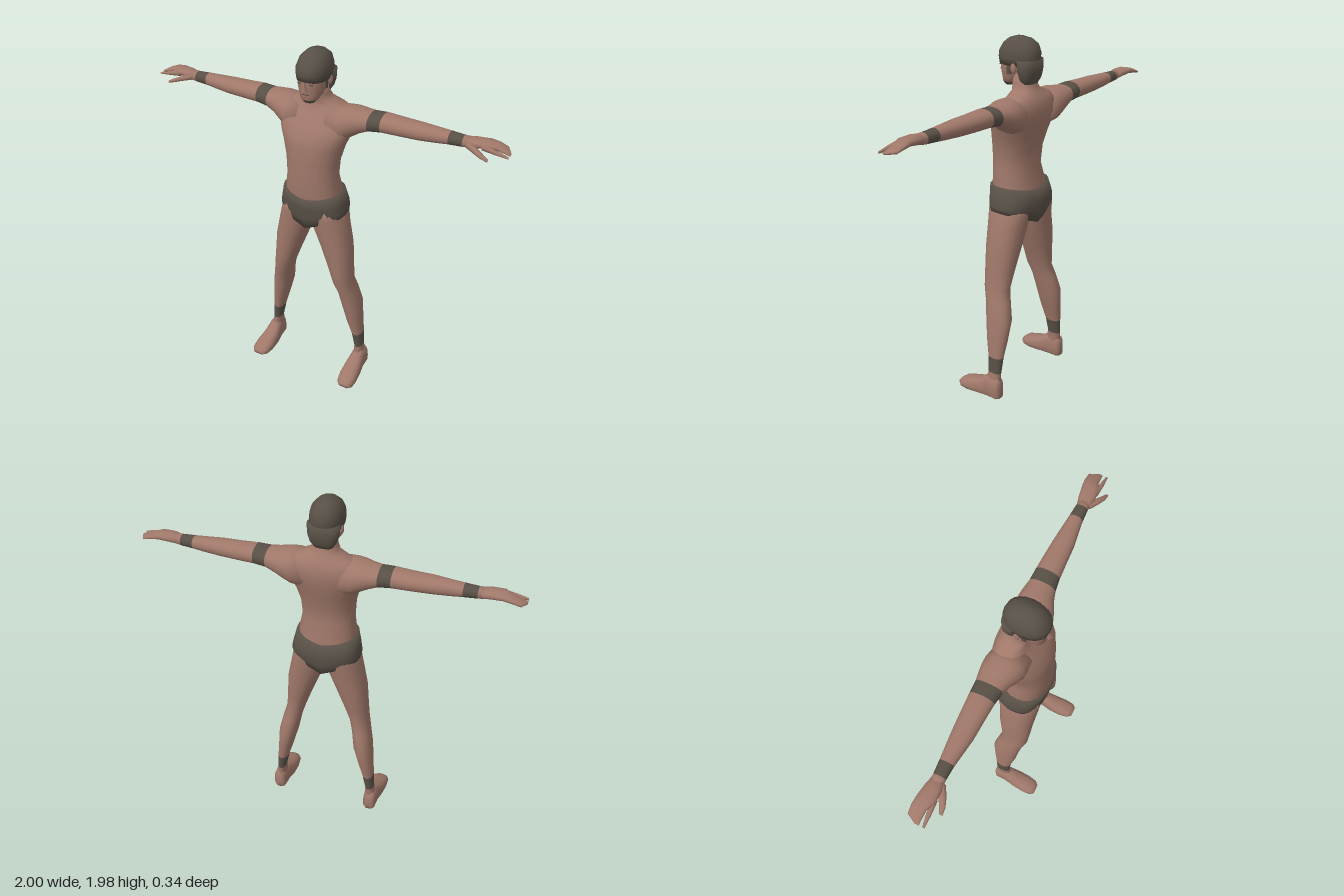
import * as THREE from 'three';

const skin = new THREE.MeshStandardMaterial({ color: 0xa0786a });
skin.name = 'skin';
const dark = new THREE.MeshStandardMaterial({ color: 0x585046 });
dark.name = 'dark cloth and hair';

const pow = (v, e) => Math.sign(v) * Math.abs(v) ** e;

// Skins rings along an axis. Ring: [t, aMin, aMax, bMin, bMax, lift].
// (a, t, b) is (x, y, z) for axis y, (z, x, y) for axis x, (y, z, x) for axis z.
// Segments listed in darkSegs are dark; lift raises a ring towards its sides.
function loft(name, axis, rings, { n = 2.2, sides = 20, side = 1, base = skin, darkSegs = [] } = {}) {
  const pos = [], index = [], geo = new THREE.BufferGeometry();
  const put = (a, t, b) => {
    const [x, y, z] = axis === 'y' ? [a, t, b] : axis === 'x' ? [t, b, a] : [b, a, t];
    pos.push(x * side, Math.max(0, y), z);
  };
  const tri = (a, b, c) => (side > 0 ? index.push(a, b, c) : index.push(a, c, b));
  for (const [t, a0, a1, b0, b1, lift = 0] of rings) {
    for (let i = 0; i < sides; i++) {
      const th = (i / sides) * Math.PI * 2;
      const u = pow(Math.cos(th), 2 / n), v = pow(Math.sin(th), 2 / n);
      put((a0 + a1) / 2 + (u * (a1 - a0)) / 2, t + lift * Math.abs(u), (b0 + b1) / 2 + (v * (b1 - b0)) / 2);
    }
  }
  const last = rings.length - 1;
  for (const r of [rings[0], rings[last]]) put((r[1] + r[2]) / 2, r[0], (r[3] + r[4]) / 2);
  const c0 = rings.length * sides;
  for (let s = 0; s < last; s++) {
    const start = index.length;
    for (let i = 0; i < sides; i++) {
      const j = (i + 1) % sides, p = s * sides;
      if (s === 0) tri(c0, i, j);
      tri(p + i, p + sides + i, p + j);
      tri(p + j, p + sides + i, p + sides + j);
      if (s === last - 1) tri(c0 + 1, last * sides + j, last * sides + i);
    }
    geo.addGroup(start, index.length - start, darkSegs.includes(s) ? 1 : 0);
  }
  geo.setAttribute('position', new THREE.Float32BufferAttribute(pos, 3));
  geo.setIndex(index);
  geo.computeVertexNormals();
  const mesh = new THREE.Mesh(geo, [base, dark]);
  mesh.name = name;
  return mesh;
}

// Ring symmetric about x = 0: height, half width, back z, front z
const sym = (y, w, back, front, lift) => [y, -w, w, back, front, lift];

function plate(name, material, w, h, d, x, y, z) {
  const m = new THREE.Mesh(new THREE.BoxGeometry(w, h, d), material);
  m.name = name;
  m.position.set(x, y, z);
  return m;
}

function makeHead() {
  const head = new THREE.Group();
  head.name = 'head';
  // Face with a short beard under the chin
  head.add(loft('face', 'y', [
    sym(1.727, 0.028, 0.02, 0.07), sym(1.745, 0.046, -0.01, 0.082), sym(1.765, 0.058, -0.04, 0.082),
    sym(1.8, 0.068, -0.07, 0.088), sym(1.85, 0.074, -0.09, 0.092), sym(1.9, 0.07, -0.09, 0.08),
  ], { darkSegs: [0] }));
  // Hair cap and the hair behind the ears
  head.add(loft('hairCap', 'y', [
    sym(1.848, 0.081, -0.126, 0.098, -0.008), sym(1.875, 0.085, -0.13, 0.103), sym(1.905, 0.084, -0.13, 0.1),
    sym(1.942, 0.073, -0.118, 0.077), sym(1.968, 0.048, -0.085, 0.045), sym(1.98, 0.018, -0.04, 0.008),
  ], { base: dark }));
  head.add(loft('backHair', 'y', [
    sym(1.748, 0.05, -0.108, -0.04), sym(1.775, 0.067, -0.122, -0.04),
    sym(1.81, 0.078, -0.128, -0.035), sym(1.87, 0.083, -0.129, -0.025),
  ], { base: dark, n: 2.6 }));
  // Nose
  const nose = new THREE.Mesh(new THREE.ConeGeometry(0.019, 0.055, 4), skin);
  nose.name = 'nose';
  nose.position.set(0, 1.825, 0.093);
  nose.rotation.x = -0.12;
  head.add(nose);
  head.add(plate('mouth', dark, 0.036, 0.004, 0.008, 0, 1.776, 0.082));
  for (const s of [-1, 1]) {
    head.add(plate('eye', dark, 0.022, 0.006, 0.008, s * 0.03, 1.832, 0.083));
    head.add(plate('sideburn', dark, 0.009, 0.06, 0.024, s * 0.07, 1.825, 0.0));
    const ear = new THREE.Mesh(new THREE.SphereGeometry(0.025, 10, 8), skin);
    ear.name = 'ear';
    ear.scale.set(0.4, 1.1, 0.7);
    ear.position.set(s * 0.077, 1.83, -0.033);
    head.add(ear);
  }
  return head;
}

function makeArm(side) {
  const arm = new THREE.Group();
  arm.name = side > 0 ? 'leftArm' : 'rightArm';
  // Shoulder to wrist, with an upper band and a wrist band
  arm.add(loft('armAndBands', 'x', [
    [0.08, -0.15, 0.05, 1.5, 1.69], [0.16, -0.165, 0.045, 1.515, 1.695], [0.2, -0.163, 0.03, 1.54, 1.695],
    [0.24, -0.157, 0.01, 1.565, 1.69], [0.29, -0.147, -0.005, 1.587, 1.685],
    [0.357, -0.144, -0.014, 1.595, 1.69], [0.45, -0.14, -0.02, 1.597, 1.686], [0.55, -0.134, -0.025, 1.6, 1.684],
    [0.64, -0.126, -0.038, 1.606, 1.68], [0.7, -0.12, -0.046, 1.612, 1.677], [0.77, -0.115, -0.05, 1.617, 1.673],
    [0.8, -0.115, -0.048, 1.622, 1.673],
  ], { side, darkSegs: [4, 9] }));
  // Palm and fingers, index finger and thumb
  arm.add(loft('hand', 'x', [
    [0.77, -0.112, -0.052, 1.62, 1.67], [0.83, -0.125, -0.04, 1.63, 1.677], [0.89, -0.133, -0.042, 1.64, 1.677],
    [0.93, -0.137, -0.062, 1.638, 1.668], [0.975, -0.134, -0.066, 1.63, 1.65], [1.0, -0.09, -0.066, 1.627, 1.638],
  ], { side, sides: 12 }));
  arm.add(loft('indexFinger', 'x', [
    [0.87, -0.066, -0.038, 1.636, 1.668], [0.94, -0.06, -0.036, 1.63, 1.652], [1.0, -0.05, -0.038, 1.626, 1.636],
  ], { side, sides: 8 }));
  arm.add(loft('thumb', 'x', [
    [0.79, -0.075, -0.04, 1.63, 1.66], [0.84, -0.055, -0.012, 1.622, 1.652],
    [0.88, -0.03, 0.002, 1.613, 1.637], [0.915, -0.012, 0.004, 1.607, 1.62],
  ], { side, sides: 8 }));
  return arm;
}

function makeLeg(side) {
  const leg = new THREE.Group();
  leg.name = side > 0 ? 'leftLeg' : 'rightLeg';
  // Thigh to ankle, with an ankle band
  leg.add(loft('legAndBand', 'y', [
    [0.06, 0.25, 0.318, -0.1, -0.01], [0.1, 0.253, 0.312, -0.1, -0.01], [0.155, 0.255, 0.303, -0.102, -0.02],
    [0.25, 0.235, 0.298, -0.108, -0.012], [0.35, 0.206, 0.29, -0.12, 0.01], [0.47, 0.174, 0.281, -0.13, 0.027],
    [0.57, 0.157, 0.26, -0.107, 0.045], [0.64, 0.137, 0.243, -0.088, 0.068], [0.74, 0.102, 0.235, -0.1, 0.075],
    [0.87, 0.053, 0.226, -0.116, 0.083], [1.0, 0.002, 0.2, -0.128, 0.094], [1.07, -0.002, 0.184, -0.145, 0.1],
    [1.12, 0.01, 0.165, -0.14, 0.1],
  ], { side, darkSegs: [2] }));
  // Foot with a flat sole
  leg.add(loft('foot', 'z', [
    [-0.108, -0.01, 0.08, 0.265, 0.308], [-0.095, -0.03, 0.125, 0.25, 0.324], [-0.03, -0.03, 0.128, 0.244, 0.327],
    [0.03, -0.03, 0.09, 0.235, 0.337], [0.1, -0.03, 0.064, 0.234, 0.345], [0.15, -0.02, 0.045, 0.243, 0.342],
    [0.173, -0.005, 0.027, 0.263, 0.325],
  ], { side, sides: 16, n: 2.4 }));
  return leg;
}

export function createModel() {
  const model = new THREE.Group();
  model.name = 'figure';
  // Torso and neck
  model.add(loft('torso', 'y', [
    sym(1.1, 0.155, -0.135, 0.1), sym(1.2, 0.158, -0.133, 0.113), sym(1.3, 0.141, -0.106, 0.115),
    sym(1.4, 0.147, -0.116, 0.115), sym(1.48, 0.167, -0.138, 0.112), sym(1.54, 0.192, -0.153, 0.101),
    sym(1.6, 0.213, -0.165, 0.068), sym(1.655, 0.2, -0.16, 0.028), sym(1.69, 0.15, -0.142, 0.006),
    sym(1.715, 0.08, -0.122, 0.008), sym(1.75, 0.062, -0.105, 0.014), sym(1.8, 0.058, -0.1, 0.02),
  ], { sides: 24 }));
  // Briefs with a cut leg line
  model.add(loft('briefs', 'y', [
    sym(0.995, 0.187, -0.138, 0.099, 0.08), sym(1.055, 0.189, -0.157, 0.108, 0.045),
    sym(1.12, 0.181, -0.16, 0.114, 0.02), sym(1.183, 0.164, -0.142, 0.118, 0.028),
  ], { sides: 28, n: 2.6, base: dark }));
  model.add(makeHead());
  for (const side of [-1, 1]) model.add(makeArm(side), makeLeg(side));
  return model;
}
